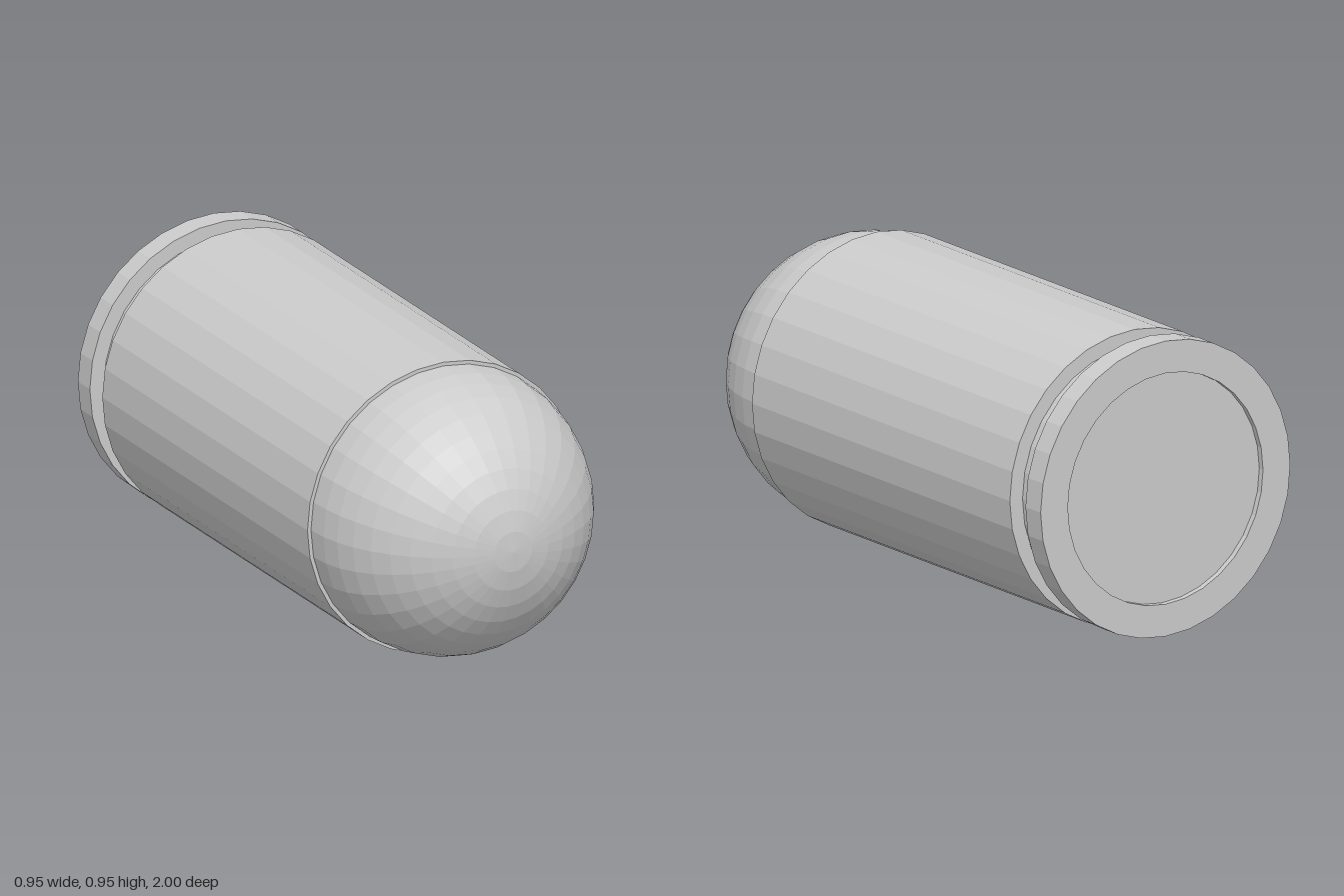
import * as THREE from 'three';

const SIDES = 32;
const RADIUS = 0.473;

// Faceted solid of revolution along z; profile is [radius, z] from back to front.
function turned(name, profile) {
  const points = profile.map(([r, z]) => new THREE.Vector2(r, z));
  const geometry = new THREE.LatheGeometry(points, SIDES);
  geometry.rotateX(Math.PI / 2);
  const material = new THREE.MeshStandardMaterial({ color: 0xcccccc, flatShading: true });
  const mesh = new THREE.Mesh(geometry, material);
  mesh.name = name;
  mesh.position.y = RADIUS;
  return mesh;
}

export function createModel() {
  const group = new THREE.Group();
  group.name = 'cartridge';

  // Casing: recessed base, rim, extraction groove, straight wall and front lip
  group.add(turned('casing', [
    [0, -0.98], [0.37, -0.98], [0.37, -1],
    [RADIUS, -1], [RADIUS, -0.92],
    [0.425, -0.92], [0.425, -0.837],
    [RADIUS, -0.837], [RADIUS, 0.53],
    [0.455, 0.53],
  ]));

  // Rounded tip: a short neck running into a hemisphere
  const tipRadius = 0.461;
  const rings = 11;
  const dome = [[tipRadius, 0.52]];
  for (let i = 0; i <= rings; i++) {
    const a = (i / rings) * Math.PI / 2;
    const r = i === rings ? 0 : tipRadius * Math.cos(a);
    dome.push([r, 1 - tipRadius + tipRadius * Math.sin(a)]);
  }
  group.add(turned('tip', dome));

  return group;
}
